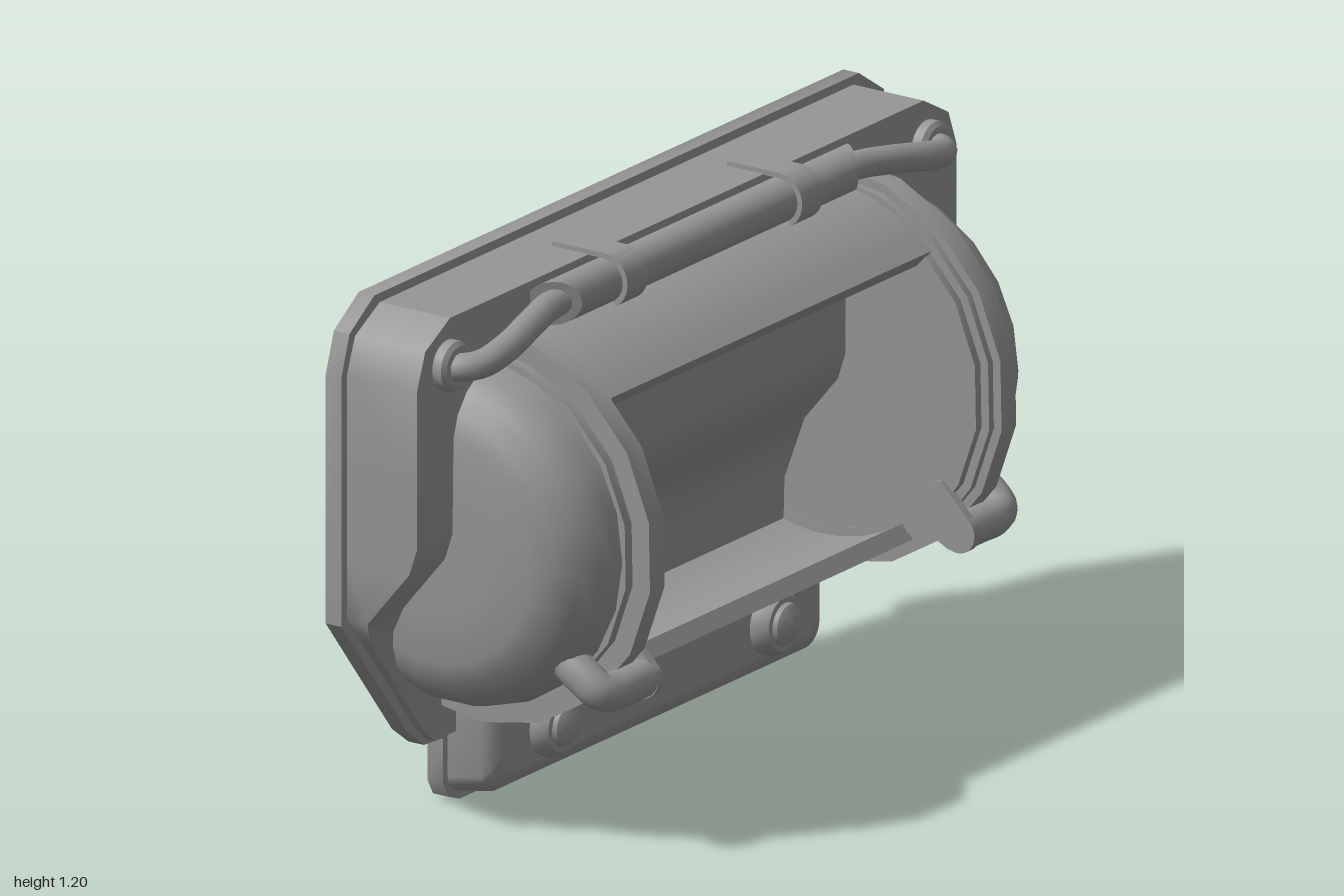
import * as THREE from 'three';
import { toCreasedNormals } from 'three/addons/utils/BufferGeometryUtils.js';

const CY = 0.66, CZ = -0.09; // drum axis, running along x
const rad = THREE.MathUtils.degToRad;

export function createModel() {
  const model = new THREE.Group();
  const mat = new THREE.MeshStandardMaterial({ color: 0x969696, side: THREE.DoubleSide });
  const add = (parent, name, geo, crease = 0.6) => {
    const mesh = new THREE.Mesh(crease ? toCreasedNormals(geo, crease) : geo, mat);
    mesh.name = name;
    parent.add(mesh);
  };

  // Surface through equal-length rows of [x, y, z] points
  const grid = (rows) => {
    const n = rows[0].length, idx = [];
    for (let i = 0; i < rows.length - 1; i++) for (let j = 0; j < n - 1; j++) {
      const a = i * n + j, b = a + n;
      idx.push(a, b, a + 1, b, b + 1, a + 1);
    }
    const g = new THREE.BufferGeometry();
    g.setAttribute('position', new THREE.Float32BufferAttribute(rows.flat(2), 3));
    g.setIndex(idx);
    g.computeVertexNormals();
    return g;
  };

  // Shape drawn as (z, y), extruded from x0 to x1
  const extrudeX = (shape, x0, x1, segs = 6) => {
    const g = new THREE.ExtrudeGeometry(shape, { depth: x1 - x0, bevelEnabled: false, curveSegments: segs });
    return g.rotateY(-Math.PI / 2).translate(x1, 0, 0);
  };
  // Arc-shaped slab about the drum axis; r0 = 0 makes a solid sector
  const sector = (r0, r1, a0, a1, x0, x1, segs) => {
    const s = new THREE.Shape();
    s.absarc(CZ, CY, r1, rad(a0), rad(a1), false);
    if (r0) s.absarc(CZ, CY, r0, rad(a1), rad(a0), true);
    else s.lineTo(CZ, CY);
    return extrudeX(s, x0, x1, segs);
  };
  const mirrored = (half) => [...half, ...half.map(([x, y]) => [-x, y]).reverse()];
  const polygon = (pts) => pts.map(([x, y]) => new THREE.Vector2(x, y));
  const points = (pts) => pts.map((p) => new THREE.Vector3(...p));

  // Rear flange: thin frame with an open back
  const rim = new THREE.Shape(polygon(mirrored([[0.88, 1.2], [0.97, 1.14], [1, 1.05], [1, 0.5], [0.76, 0.2],
    [0.7, 0.155], [0.63, 0.15], [0.63, 0.05], [0.61, 0.015], [0.57, 0]])));
  rim.holes.push(new THREE.Path(polygon(mirrored([[0.86, 1.18], [0.95, 1.13], [0.98, 1.05], [0.98, 0.51],
    [0.73, 0.2], [0.69, 0.17], [0.61, 0.165], [0.61, 0.05], [0.58, 0.02]]))));
  add(model, 'rearFlange',
    new THREE.ExtrudeGeometry(rim, { depth: 0.04, bevelEnabled: false }).translate(0, 0, -0.25));

  // Housing: levels are [y, half width, front z]
  const levels = [[1.18, 0.86, -0.03], [1.13, 0.95, -0.03], [1.05, 0.98, -0.03], [0.85, 0.98, -0.03],
    [0.7, 0.98, -0.03], [0.64, 0.98, -0.05], [0.51, 0.98, -0.157], [0.45, 0.93, -0.185],
    [0.24, 0.762, -0.19], [0.2, 0.73, -0.19], [0.165, 0.69, -0.19]];
  add(model, 'housingFront', grid(levels.slice(0, 9).map(([y, w, z]) => [[-w, y, z], [w, y, z]])), 0.9);
  add(model, 'housingTop', grid([[[-0.86, 1.18, -0.03], [0.86, 1.18, -0.03]],
    [[-0.86, 1.18, -0.21], [0.86, 1.18, -0.21]]]));
  for (const s of [1, -1]) {
    add(model, 'housingLowerFront', grid(levels.slice(8).map(([y, w, z]) => [[s * 0.6, y, z], [s * w, y, z]])));
    add(model, 'housingSide', grid([...levels, [0.165, 0.61, -0.19]]
      .map(([y, w, z]) => [[s * w, y, z], [s * w, y, -0.215]])), 0.9);
  }

  // Lower tray: rounded loops stepping forward, open at the back
  const trayLoop = (w, y0, y1, r) => {
    const s = new THREE.Shape();
    s.moveTo(-w, y1).lineTo(-w, y0 + r);
    s.absarc(-w + r, y0 + r, r, Math.PI, Math.PI * 1.5, false);
    s.absarc(w - r, y0 + r, r, Math.PI * 1.5, Math.PI * 2, false);
    s.lineTo(w, y1);
    return s.closePath();
  };
  const loops = [[-0.215, 0.615, 0.018], [-0.13, 0.605, 0.03], [-0.11, 0.595, 0.042], [-0.098, 0.57, 0.07]];
  add(model, 'tray', grid(loops.map(([z, w, y0], i) =>
    trayLoop(w, y0, i === 3 ? 0.222 : 0.24, 0.05).getPoints(5).map((p) => [p.x, p.y, z]))), 0.7);
  add(model, 'trayFront', new THREE.ShapeGeometry(trayLoop(0.57, 0.07, 0.222, 0.05), 5).translate(0, 0, -0.098));
  for (const x of [-0.4, 0.4]) {
    const knob = [[0.075, -0.1], [0.075, -0.085], [0.06, -0.06], [0.047, -0.06], [0.044, -0.05], [0.028, -0.039], [0, -0.035]];
    add(model, 'knob', new THREE.LatheGeometry(polygon(knob), 24).rotateX(Math.PI / 2).translate(x, 0.145, 0));
  }
  for (const x of [-0.48, 0, 0.48])
    add(model, 'trayPin', new THREE.SphereGeometry(0.02, 12, 8).scale(1, 1.1, 1).translate(x, 0.23, -0.095));
  const tab = new THREE.Shape(polygon([[-0.15, 0.03], [-0.25, 0.03], [-0.25, 0], [-0.21, 0.002], [-0.15, 0.02]]));
  for (const x of [-0.38, 0, 0.38]) add(model, 'trayTab', extrudeX(tab, x - 0.03, x + 0.03));

  // Hood strips above and below the open window
  add(model, 'upperHood', sector(0.365, 0.415, 48, 92, -0.58, 0.58, 3));
  add(model, 'lowerHood', sector(0.37, 0.41, -110, -56, -0.58, 0.58, 3));

  // Parts repeated on each side
  for (const s of [1, -1]) {
    const side = new THREE.Group();
    side.name = s > 0 ? 'leftSide' : 'rightSide';
    side.scale.x = s;
    model.add(side);

    // Stepped rings, each closed by a thin plate
    for (const [r, x0, x1] of [[0.4, 0.575, 0.595], [0.42, 0.595, 0.612], [0.44, 0.612, 0.665], [0.395, 0.665, 0.69]])
      add(side, 'ring', sector(0.355, r, -110, 92, x0, x1, 5), 0.45);
    for (const x of [0.576, 0.682])
      add(side, 'ringPlate', sector(0, 0.375, -110, 92, x, x + 0.006, 5), 0.45);

    // Domed end shell, open towards the back
    const dome = [[0.385, 0.695], [0.383, 0.72], [0.372, 0.76], [0.345, 0.8], [0.305, 0.832], [0.26, 0.847], [0.15, 0.85], [0, 0.851]];
    const a0 = rad(-131), a1 = rad(97);
    add(side, 'endDome', new THREE.LatheGeometry(polygon(dome), 14, -a1, a1 - a0)
      .rotateZ(-Math.PI / 2).translate(0, CY, CZ), 0.7);

    // Clamp: bent bar from the ring round to the dome, with an inner lug
    const bend = new THREE.CatmullRomCurve3(points([[0.575, 0.365, 0.266], [0.63, 0.365, 0.266], [0.69, 0.365, 0.266],
      [0.724, 0.374, 0.256], [0.733, 0.4, 0.225], [0.733, 0.435, 0.175]]));
    add(side, 'clampBar', new THREE.TubeGeometry(bend, 24, 0.042, 14), 0);
    const lug = new THREE.Shape();
    lug.moveTo(0.14, 0.375).lineTo(0.24, 0.323);
    lug.absarc(0.264, 0.363, 0.044, rad(-114), rad(42), false);
    lug.lineTo(0.222, 0.47).lineTo(0.205, 0.465);
    add(side, 'clampLug', extrudeX(lug, 0.565, 0.585, 8));

    // Pipe elbow and its mounting collar
    const path = new THREE.CatmullRomCurve3(points([[0.87, 1.08, -0.04], [0.868, 1.08, 0.005], [0.835, 1.085, 0.035],
      [0.76, 1.1, 0.043], [0.66, 1.118, 0.03], [0.56, 1.13, 0.012], [0.48, 1.13, 0.008]]));
    add(side, 'pipeElbow', new THREE.TubeGeometry(path, 32, 0.031, 12), 0);
    const collar = [[0.055, -0.035], [0.055, -0.008], [0.045, 0], [0.03, 0]];
    add(side, 'pipeCollar', new THREE.LatheGeometry(polygon(collar), 20).rotateX(Math.PI / 2).translate(0.87, 1.08, 0));

    // Strap hooked over the pipe
    const strap = new THREE.Shape();
    strap.moveTo(-0.125, 1.178).lineTo(0.005, 1.178);
    strap.absarc(0.008, 1.13, 0.046, rad(90), rad(-60), true);
    strap.lineTo(0.038, 1.078);
    strap.absarc(0.008, 1.13, 0.06, rad(-60), rad(90), false);
    strap.lineTo(-0.125, 1.19);
    add(side, 'pipeStrap', extrudeX(strap, 0.28, 0.355, 10));

    // Inner clips holding the ring plates
    for (const [y, z] of [[1.04, -0.1], [0.3, -0.23]]) {
      add(side, 'innerClip', new THREE.BoxGeometry(0.12, 0.025, 0.05).translate(0.64, y, z));
      for (const x of [0.6, 0.68])
        add(side, 'clipTooth', new THREE.BoxGeometry(0.025, 0.06, 0.035).translate(x, y, z));
    }
  }

  // Thick middle pipe with slanted ends
  const bar = new THREE.CylinderGeometry(0.048, 0.048, 1.08, 20).rotateZ(Math.PI / 2);
  const p = bar.attributes.position;
  for (let i = 0; i < p.count; i++) p.setX(i, p.getX(i) - Math.sign(p.getX(i)) * p.getZ(i) * 0.8);
  add(model, 'middlePipe', bar.translate(0, 1.13, 0.008));

  return model;
}
